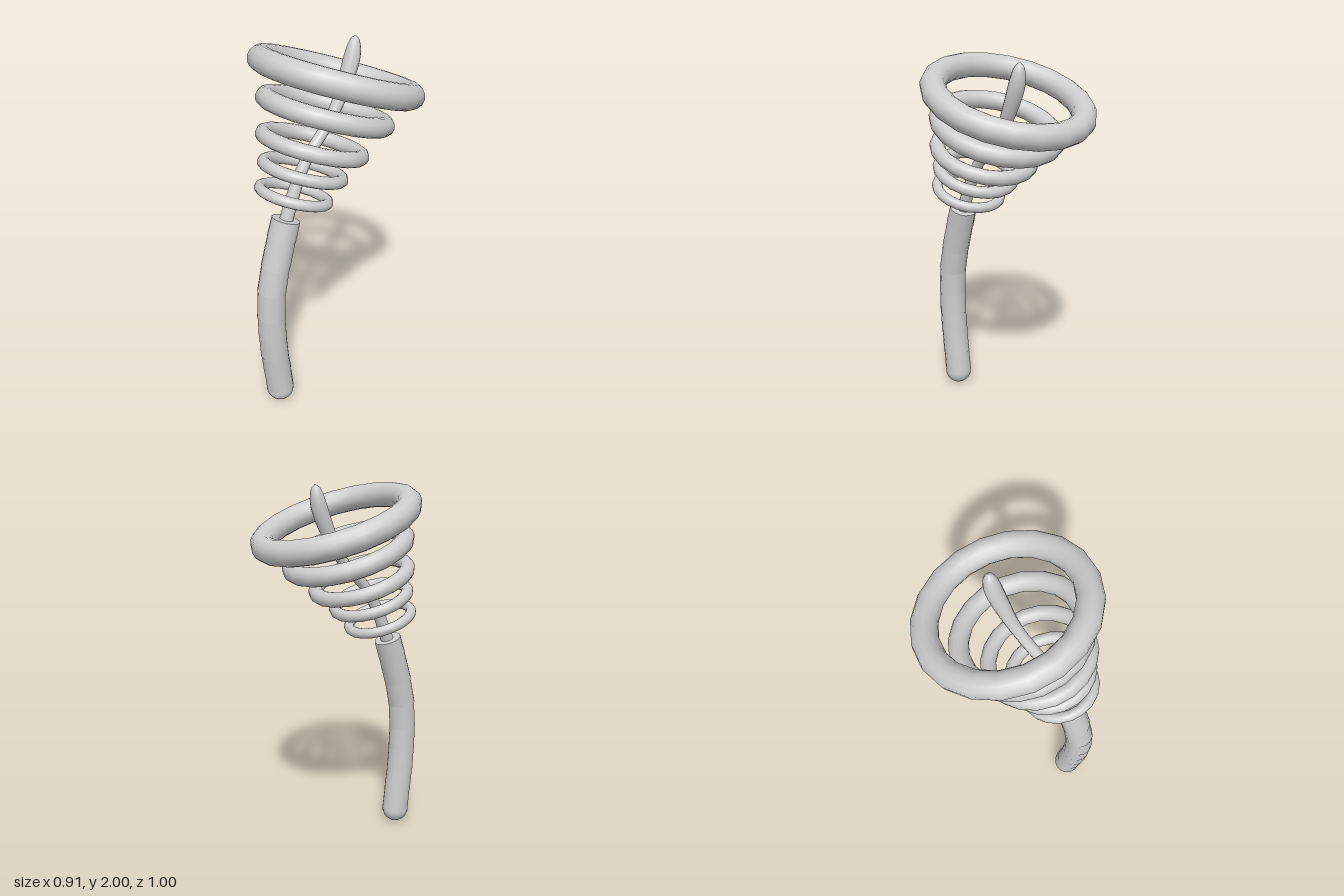
import * as THREE from 'three';

const AXIS_X = 0.023; // sideways position of handle and rod
const TILT = 0.337; // lean of the rings towards the back

const material = new THREE.MeshStandardMaterial({ color: 0xcccccc });

function addMesh(parent, name, geometry) {
  const mesh = new THREE.Mesh(geometry, material);
  mesh.name = name;
  parent.add(mesh);
  return mesh;
}

// Curve in the plane x = AXIS_X through [y, z] points
function sideCurve(points) {
  return new THREE.CatmullRomCurve3(points.map(([y, z]) => new THREE.Vector3(AXIS_X, y, z)));
}

// Tube whose radius follows radiusAt(u)
function taperedTube(curve, segments, sides, radiusAt) {
  const geometry = new THREE.TubeGeometry(curve, segments, 1, sides);
  const position = geometry.attributes.position;
  const p = new THREE.Vector3();
  for (let i = 0; i < position.count; i++) {
    const u = Math.floor(i / (sides + 1)) / segments;
    const centre = curve.getPointAt(u);
    p.fromBufferAttribute(position, i).sub(centre).multiplyScalar(radiusAt(u)).add(centre);
    position.setXYZ(i, p.x, p.y, p.z);
  }
  geometry.computeVertexNormals();
  return geometry;
}

// Bent handle: a chain of short straight sleeves on a rounded foot
function createHandle() {
  const handle = new THREE.Group();
  handle.name = 'handle';
  const radius = 0.077;
  const joints = [
    [0.085, 0.381], [0.21, 0.395], [0.34, 0.411], [0.47, 0.42], [0.603, 0.423],
    [0.751, 0.413], [0.894, 0.381], [1.042, 0.336], [1.143, 0.302],
  ].map(([y, z]) => new THREE.Vector3(AXIS_X, y, z));
  const up = new THREE.Vector3(0, 1, 0);
  for (let i = 0; i < joints.length - 1; i++) {
    const step = joints[i + 1].clone().sub(joints[i]);
    const overlap = i < joints.length - 2 ? 0.016 : 0;
    const sleeve = addMesh(handle, 'handleSleeve',
      new THREE.CylinderGeometry(radius - 0.002, radius, step.length() + overlap, 14));
    sleeve.position.copy(joints[i]).add(joints[i + 1]).multiplyScalar(0.5);
    sleeve.quaternion.setFromUnitVectors(up, step.normalize());
  }
  const foot = addMesh(handle, 'handleFoot', new THREE.SphereGeometry(radius, 14, 12));
  foot.position.set(AXIS_X, radius, 0.381);
  return handle;
}

export function createModel() {
  const model = new THREE.Group();
  model.name = 'ringedWand';
  model.add(createHandle());

  // Curved rod, slimmer in the middle and rounded at its tip
  const rodCurve = sideCurve([
    [1.1, 0.314], [1.238, 0.26], [1.333, 0.217], [1.45, 0.143],
    [1.582, 0.01], [1.68, -0.06], [1.783, -0.112], [1.9, -0.157], [2.0, -0.176],
  ]);
  const rodRadius = (u) => {
    const body = 0.029 + 0.008 * Math.max(0, 1 - u / 0.4)
      + 0.014 * THREE.MathUtils.smoothstep(u, 0.55, 0.87);
    const tip = Math.max(0, (u - 0.87) / 0.13);
    return body * Math.sqrt(Math.max(0, 1 - tip * tip));
  };
  addMesh(model, 'rod', taperedTube(rodCurve, 60, 14, rodRadius));

  // Rings from small to large: x, y, z, ring radius, tube radius
  const rings = [
    [0.024, 1.266, 0.246, 0.178, 0.028],
    [0.023, 1.381, 0.181, 0.205, 0.032],
    [0.018, 1.5, 0.111, 0.255, 0.04],
    [0.008, 1.651, 0.013, 0.309, 0.05],
    [0, 1.807, -0.07, 0.389, 0.065],
  ];
  for (const [x, y, z, radius, tube] of rings) {
    const geometry = new THREE.TorusGeometry(radius, tube, 14, 20);
    geometry.rotateX(Math.PI / 2);
    const ring = addMesh(model, 'ring', geometry);
    ring.position.set(x, y, z);
    ring.rotation.x = -TILT;
  }
  return model;
}
